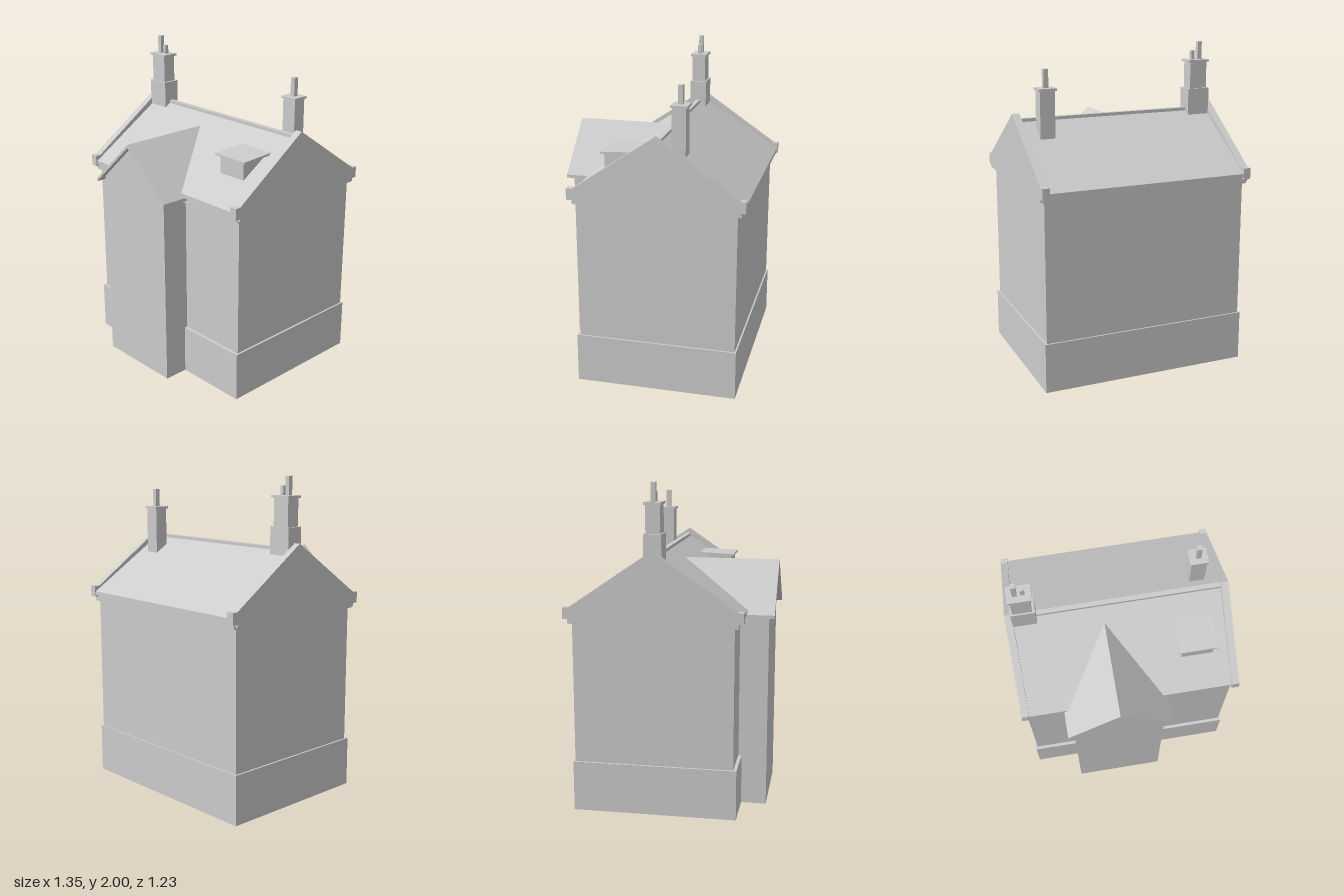
import * as THREE from 'three';

export function createModel() {
  const house = new THREE.Group();
  house.name = 'house';
  const stone = new THREE.MeshStandardMaterial({ color: 0xcccccc, side: THREE.DoubleSide });
  stone.name = 'pale grey';

  const add = (name, geometry, parent = house) => {
    const mesh = new THREE.Mesh(geometry, stone);
    mesh.name = name;
    parent.add(mesh);
    return mesh;
  };
  const group = (name) => {
    const g = new THREE.Group();
    g.name = name;
    house.add(g);
    return g;
  };
  // Box given by its limits on each axis
  const box = (name, [x0, x1], [y0, y1], [z0, z1], parent) =>
    add(name, new THREE.BoxGeometry(x1 - x0, y1 - y0, z1 - z0)
      .translate((x0 + x1) / 2, (y0 + y1) / 2, (z0 + z1) / 2), parent);
  const shape = (pts) => new THREE.Shape(pts.map(([a, b]) => new THREE.Vector2(a, b)));
  // (z, y) section swept along x
  const alongX = (name, pts, x0, x1, parent) =>
    add(name, new THREE.ExtrudeGeometry(shape(pts), { depth: x1 - x0, bevelEnabled: false })
      .rotateY(-Math.PI / 2).translate(x1, 0, 0), parent);
  // Upright single-sheet walls
  const wallX = (name, x0, x1, z, y1, parent) =>
    add(name, new THREE.PlaneGeometry(x1 - x0, y1).translate((x0 + x1) / 2, y1 / 2, z), parent);
  const wallZ = (name, z0, z1, x, y1, parent) =>
    add(name, new THREE.PlaneGeometry(z1 - z0, y1).rotateY(Math.PI / 2)
      .translate(x, y1 / 2, (z0 + z1) / 2), parent);

  // Main walls
  box('mainWalls', [-0.648, 0.648], [0.31, 1.17], [-0.565, 0.405]);

  // Hollow plinth, open below and behind the porch
  const plinth = group('plinth');
  box('plinthLedge', [-0.66, 0.66], [0.304, 0.31], [-0.575, 0.425], plinth);
  wallX('plinthBack', -0.66, 0.66, -0.575, 0.31, plinth);
  wallX('plinthFrontRight', -0.66, -0.375, 0.425, 0.31, plinth);
  wallX('plinthFrontLeft', 0.19, 0.66, 0.425, 0.31, plinth);
  for (const s of [-1, 1]) wallZ('plinthSide', -0.575, 0.425, s * 0.66, 0.31, plinth);

  // Cornice, main roof and ridge
  box('cornice', [-0.66, 0.66], [1.17, 1.21], [-0.59, 0.43]);
  alongX('mainRoof', [[0.45, 1.21], [0.45, 1.235], [-0.08, 1.57], [-0.61, 1.235], [-0.61, 1.21]], -0.632, 0.632);
  box('ridge', [-0.632, 0.632], [1.555, 1.58], [-0.095, -0.065]);

  // Raised gable copings with corner blocks
  for (const s of [-1, 1]) {
    const gable = group(s > 0 ? 'leftGable' : 'rightGable');
    const [x0, x1] = s > 0 ? [0.63, 0.675] : [-0.675, -0.63];
    alongX('coping', [[0.425, 1.18], [0.425, 1.27], [-0.078, 1.612], [-0.58, 1.27], [-0.58, 1.18]], x0, x1, gable);
    for (const [z0, z1] of [[0.423, 0.46], [-0.615, -0.578]]) {
      box('cornerBlock', [x0, x1], [1.2, 1.27], [z0, z1], gable);
    }
  }

  // Gabled front porch
  const porch = group('porch');
  const px = -0.0925;
  add('porchFront', new THREE.ShapeGeometry(shape([
    [-0.375, 0], [0.19, 0], [0.19, 1.228], [px, 1.49], [-0.375, 1.228],
  ])).translate(0, 0, 0.58), porch);
  for (const x of [-0.375, 0.19]) wallZ('porchSide', 0.405, 0.58, x, 1.228, porch);
  add('porchRoof', new THREE.ExtrudeGeometry(shape([
    [px - 0.322, 1.19], [px, 1.485], [px + 0.322, 1.19],
    [px + 0.322, 1.21], [px, 1.505], [px - 0.322, 1.21],
  ]), { depth: 0.595, bevelEnabled: false }).translate(0, 0, 0.02), porch);

  // Roof dormer
  const dormer = group('dormer');
  box('dormerBox', [0.342, 0.536], [1.355, 1.472], [0.08, 0.262], dormer);
  alongX('dormerRoof', [[0.28, 1.465], [0.28, 1.475], [0.055, 1.485], [0.055, 1.472]], 0.317, 0.56, dormer);

  // Right chimney, stepped, with two pots
  const tall = group('rightChimney');
  box('chimneyBase', [-0.635, -0.488], [1.538, 1.705], [-0.133, -0.026], tall);
  box('chimneyShaft', [-0.62, -0.505], [1.705, 1.872], [-0.122, -0.036], tall);
  box('chimneyCap', [-0.632, -0.49], [1.872, 1.887], [-0.132, -0.027], tall);
  box('tallPot', [-0.598, -0.57], [1.887, 2], [-0.094, -0.066], tall);
  box('shortPot', [-0.55, -0.526], [1.887, 1.943], [-0.091, -0.068], tall);

  // Left chimney with one pot
  const small = group('leftChimney');
  box('chimneyShaft', [0.456, 0.55], [1.44, 1.76], [-0.235, -0.152], small);
  box('chimneyCap', [0.446, 0.557], [1.76, 1.774], [-0.246, -0.144], small);
  box('pot', [0.487, 0.517], [1.774, 1.887], [-0.21, -0.18], small);

  return house;
}
